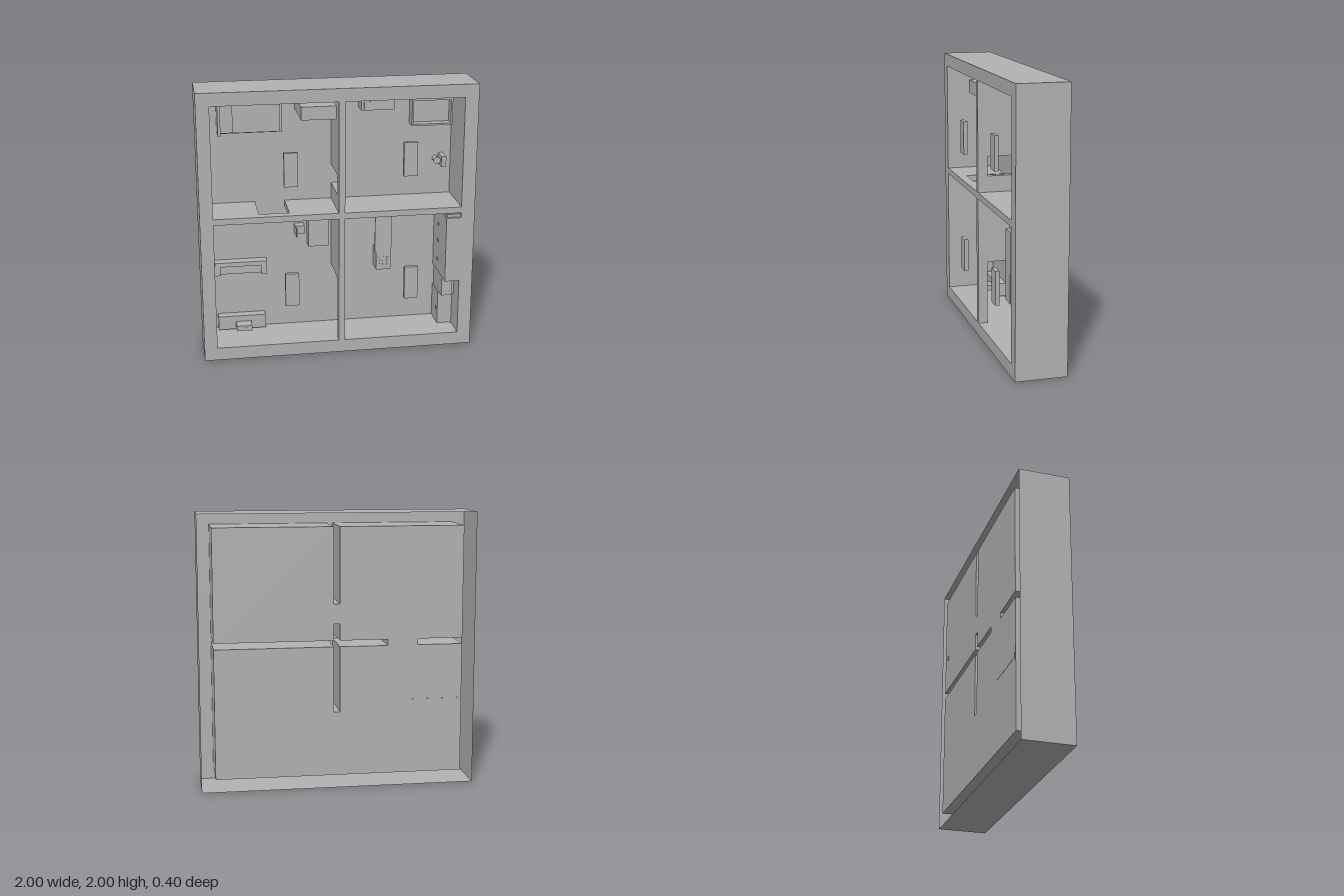
import * as THREE from 'three';

export function createModel() {
  const model = new THREE.Group();
  model.name = 'floorPlan';
  const grey = new THREE.MeshStandardMaterial({ color: 0xb2b2b2, side: THREE.DoubleSide });
  grey.name = 'plain grey';

  const FLOOR = -0.19, LINTEL = 0.11, TOP = 0.18;

  function add(name, geometry, parent = model) {
    const mesh = new THREE.Mesh(geometry, grey);
    mesh.name = name;
    parent.add(mesh);
    return mesh;
  }
  function group(name) {
    const g = new THREE.Group();
    g.name = name;
    model.add(g);
    return g;
  }
  // box given by its limits on each axis
  function box(name, x0, x1, y0, y1, z0, z1, parent) {
    const m = add(name, new THREE.BoxGeometry(x1 - x0, y1 - y0, z1 - z0), parent);
    m.position.set((x0 + x1) / 2, (y0 + y1) / 2, (z0 + z1) / 2);
    return m;
  }
  // upright skin following a closed outline
  function skin(name, outline, z0, z1, parent) {
    const pos = [];
    outline.forEach(([ax, ay], i) => {
      const [bx, by] = outline[(i + 1) % outline.length];
      pos.push(ax, ay, z0, bx, by, z1, bx, by, z0, ax, ay, z0, ax, ay, z1, bx, by, z1);
    });
    const g = new THREE.BufferGeometry();
    g.setAttribute('position', new THREE.Float32BufferAttribute(pos, 3));
    g.computeVertexNormals();
    return add(name, g, parent);
  }
  const points = (o) => o.map(([x, y]) => new THREE.Vector2(x, y));
  const rect = (x0, x1, y0, y1) => [[x0, y0], [x1, y0], [x1, y1], [x0, y1]];
  function sheet(name, outline, z, holes = [], parent = model) {
    const s = new THREE.Shape(points(outline));
    holes.forEach((h) => s.holes.push(new THREE.Path(points(h))));
    const m = add(name, new THREE.ShapeGeometry(s), parent);
    m.position.z = z;
    return m;
  }
  // open tray: solid rim around a sunken floor
  function tray(name, x0, x1, y0, y1, z1, rim, depth) {
    const g = group(name);
    const outer = rect(x0, x1, y0, y1);
    const inner = rect(x0 + rim, x1 - rim, y0 + rim, y1 - rim);
    skin(name + 'Outside', outer, FLOOR, z1, g);
    skin(name + 'Inside', inner, z1 - depth, z1, g);
    sheet(name + 'Rim', outer, z1, [inner], g);
    sheet(name + 'Bottom', inner, z1 - depth, [], g);
    return g;
  }

  // wall lines
  const xl = -0.905, xa = -0.005, xb = 0.04, xr = 0.9;
  const yl = 0.095, ya = 1.045, yb = 1.09, yt = 1.905;
  const rooms = [
    rect(xl, xa, yl, ya), rect(xb, xr, yl, ya),
    rect(xl, xa, yb, yt), rect(xb, xr, yb, yt),
  ];
  const outside = rect(-1, 1, 0, 2);
  // floor outline: four rooms joined through three doorways
  const floorLine = [
    [xl, yl], [xr, yl], [xr, ya], [xb, ya], [xb, 0.565], [xa, 0.565], [xa, ya],
    [-0.355, ya], [-0.355, yb], [xa, yb], [xa, 1.21], [xb, 1.21], [xb, yb],
    [xr, yb], [xr, yt], [xb, yt], [xb, 1.355], [xa, 1.355], [xa, yt],
    [xl, yt], [xl, yb], [-0.575, yb], [-0.575, ya], [xl, ya],
  ];

  // hollow walls, open at the back
  skin('outerWalls', outside, FLOOR, TOP);
  sheet('wallTops', outside, TOP, rooms);
  skin('roomWalls', floorLine, FLOOR, LINTEL);
  rooms.forEach((r) => skin('upperRoomWalls', r, LINTEL, TOP));
  sheet('floor', floorLine, FLOOR);
  [rect(xa, xb, yl, 0.565), rect(xa, xb, 1.21, 1.355), rect(-0.575, -0.355, ya, yb)]
    .forEach((r) => sheet('lintel', r, LINTEL));

  // floating ceiling panels
  [[-0.4, 1.31], [0.46, 1.35], [-0.4, 0.405], [0.48, 0.405]]
    .forEach(([x, y]) => box('ceilingPanel', x, x + 0.1, y, y + 0.248, 0.17, 0.2));

  // bedroom
  const bed = group('bed');
  box('bedFrame', -0.82, -0.37, 1.63, 1.875, FLOOR, -0.13, bed);
  box('headboard', -0.84, -0.82, 1.63, 1.875, FLOOR, -0.045, bed);
  box('mattress', -0.82, -0.39, 1.64, 1.86, -0.13, -0.1, bed);
  box('pillow', -0.82, -0.73, 1.645, 1.855, -0.1, -0.085, bed);
  box('wardrobe', -0.27, -0.02, 1.78, 1.875, FLOOR, 0.165);
  [-0.18, -0.12].forEach((x) => box('wardrobeHandle', x, x + 0.015, 1.775, 1.78, -0.02, 0.0));

  // bathroom
  tray('bathtub', 0.58, 0.885, 1.64, 1.84, -0.095, 0.013, 0.07);
  box('vanity', 0.2, 0.445, 1.775, 1.875, FLOOR, -0.075);
  const basin = group('basin');
  skin('basinRim', rect(0.22, 0.3, 1.785, 1.868), -0.075, -0.065, basin);
  sheet('basinEdge', rect(0.22, 0.3, 1.785, 1.868), -0.065, [rect(0.226, 0.294, 1.791, 1.862)], basin);
  box('tap', 0.256, 0.264, 1.845, 1.865, -0.075, -0.045, basin);
  const toilet = group('toilet');
  const bowl = add('bowl', new THREE.CylinderGeometry(0.027, 0.02, 0.08, 24), toilet);
  bowl.rotation.x = Math.PI / 2;
  bowl.position.set(0.78, 1.365, FLOOR + 0.04);
  box('tank', 0.805, 0.84, 1.325, 1.405, FLOOR, -0.07, toilet);
  box('drain', 0.807, 0.828, 1.35, 1.38, -0.198, FLOOR, toilet);

  // living room
  const sofa = group('sofa');
  box('sofaBack', -0.89, -0.5, 0.612, 0.645, -0.192, -0.115, sofa);
  box('sofaSeat', -0.85, -0.545, 0.54, 0.612, FLOOR, -0.155, sofa);
  box('rightArm', -0.89, -0.85, 0.54, 0.612, FLOOR, -0.125, sofa);
  box('leftArm', -0.545, -0.5, 0.54, 0.612, FLOOR, -0.125, sofa);
  box('mediaUnit', -0.875, -0.52, 0.105, 0.21, FLOOR, -0.12);
  box('screenBox', -0.745, -0.63, 0.125, 0.165, -0.12, -0.03);
  box('screenKnob', -0.7, -0.672, 0.141, 0.149, -0.03, -0.025);
  box('table', -0.19, -0.04, 0.745, 1.0, FLOOR, -0.1);
  const chair = group('chair');
  box('chairSeat', -0.285, -0.215, 0.84, 0.905, FLOOR, -0.12, chair);
  box('chairBack', -0.285, -0.275, 0.84, 0.905, -0.12, -0.05, chair);

  // kitchen
  const island = group('island');
  box('islandTop', 0.31, 0.435, 0.68, 0.965, -0.085, -0.07, island);
  box('islandBase', 0.32, 0.43, 0.54, 0.7, FLOOR, -0.07, island);
  for (let i = 0; i < 3; i++) {
    for (let j = 0; j < 3; j++) {
      const knob = add('knob', new THREE.CylinderGeometry(0.008, 0.008, 0.004, 12), island);
      knob.rotation.x = Math.PI / 2;
      knob.position.set(0.345 + i * 0.03, 0.583 + j * 0.025, -0.068);
    }
  }
  box('tallCabinets', 0.79, 0.9, 0.515, 1.01, FLOOR, 0.186);
  box('cabinetEnd', 0.798, 0.9, 1.01, 1.032, FLOOR, 0.165);
  box('cooker', 0.8, 0.88, 0.35, 0.515, FLOOR, 0.06);
  box('cookerSide', 0.88, 0.9, 0.35, 0.515, FLOOR, 0.04);
  box('lowCabinet', 0.79, 0.9, yl, 0.35, FLOOR, -0.01);
  [0.2, 0.6, 0.75, 0.88].forEach((y) => box('cabinetHandle', 0.785, 0.79, y, y + 0.02, -0.06, -0.03));

  return model;
}
